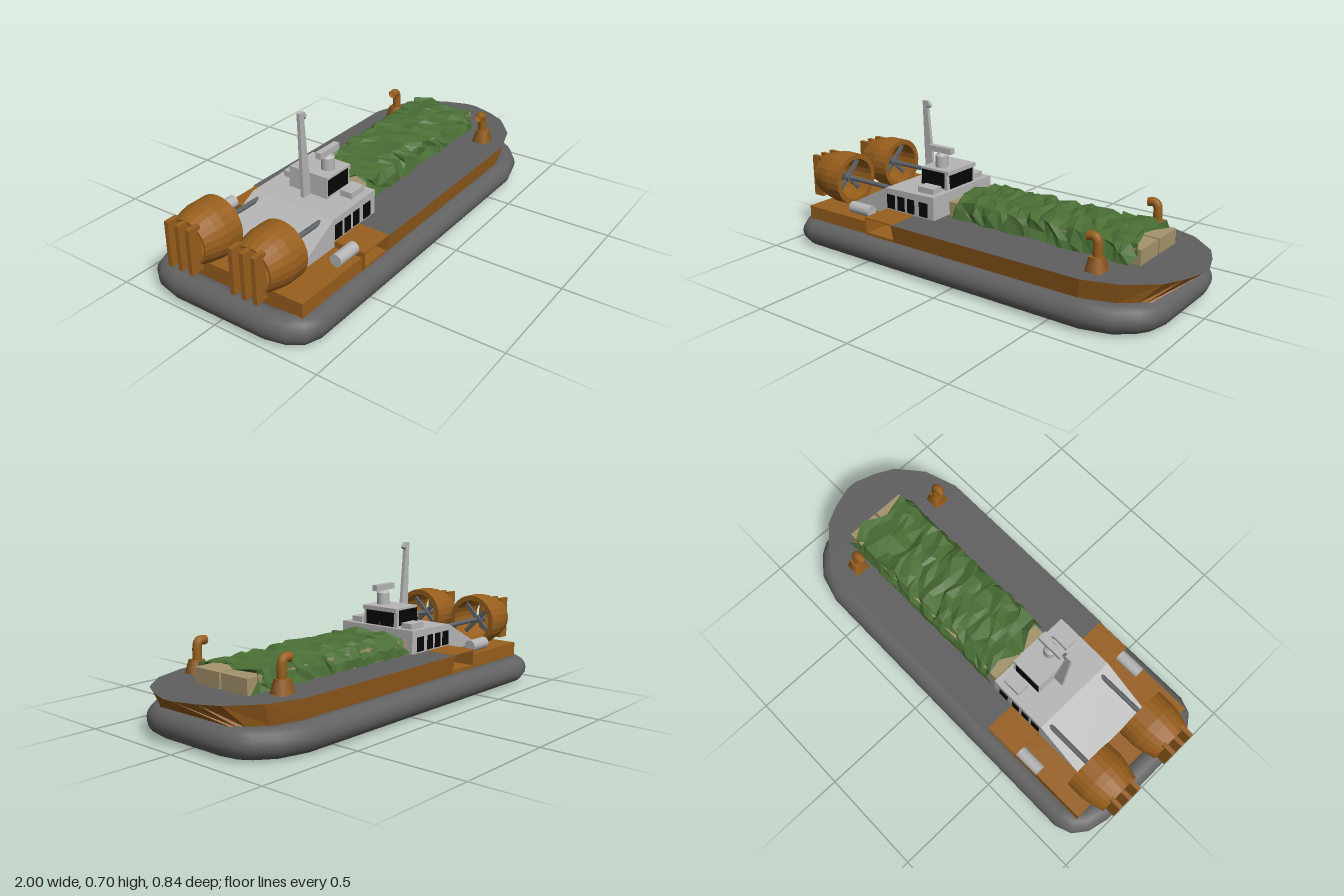
import * as THREE from 'three';

const mat = (name, color, extra = {}) => Object.assign(new THREE.MeshStandardMaterial({ color, ...extra }), { name });

export function createModel() {
  const D = { side: THREE.DoubleSide };
  const orange = mat('ochre paint', 0x985f1d, D);
  const rubber = mat('skirt rubber', 0x626262);
  const deckGrey = mat('deck grey', 0x606060, D);
  const light = mat('light grey', 0xb6b6b6);
  const metal = mat('dark metal', 0x60656a);
  const glass = mat('black glass', 0x060606);
  const tan = mat('crate tan', 0xa5946c);
  const green = mat('net green', 0x4a6f35, { ...D, flatShading: true });

  const model = new THREE.Group();
  model.name = 'hovercraft';
  const add = (name, geo, m, x = 0, y = 0, z = 0, parent = model) => {
    const mesh = new THREE.Mesh(geo, m);
    mesh.name = name;
    mesh.position.set(x, y, z);
    parent.add(mesh);
    return mesh;
  };
  // box given by its min and max on each axis
  const box = (name, m, x0, x1, y0, y1, z0, z1, parent) =>
    add(name, new THREE.BoxGeometry(x1 - x0, y1 - y0, z1 - z0), m, (x0 + x1) / 2, (y0 + y1) / 2, (z0 + z1) / 2, parent);
  const flat = pts => new THREE.Shape(pts.map(p => new THREE.Vector2(...p)));
  // side profile in x,y extruded between two z values
  const slab = (name, m, pts, z0, z1) =>
    add(name, new THREE.ExtrudeGeometry(flat(pts), { depth: z1 - z0, bevelEnabled: false }), m, 0, 0, z0);
  // half outline mirrored across z = 0
  const mirror = half => [...half, ...half.slice().reverse().filter(p => p[1] !== 0).map(([x, z]) => [x, -z])];

  // inflated skirt: round section swept along a mitred outline
  const R = 0.062, N = 16;
  const ring = mirror([[-0.99, 0], [-0.99, 0.23], [-0.967, 0.33], [-0.92, 0.392], [-0.845, 0.42], [0.65, 0.42],
    [0.79, 0.382], [0.875, 0.315], [0.912, 0.26], [0.932, 0.17], [0.932, 0]]);
  const pos = [], idx = [];
  ring.forEach((p, i) => {
    const a = ring[(i + ring.length - 1) % ring.length], b = ring[(i + 1) % ring.length];
    const n = (s, e) => new THREE.Vector2(s[1] - e[1], e[0] - s[0]).normalize();
    const n1 = n(a, p), n2 = n(p, b), out = n1.clone().add(n2).normalize();
    out.multiplyScalar(1 / out.dot(n1));
    for (let j = 0; j < N; j++) {
      const t = j / N * Math.PI * 2, r = (Math.cos(t) - 1) * R;
      pos.push(p[0] + out.x * r, 0.066 + Math.sin(t) * R, p[1] + out.y * r);
      const k = (i + 1) % ring.length, l = (j + 1) % N;
      idx.push(i * N + j, k * N + j, i * N + l, k * N + j, k * N + l, i * N + l);
    }
  });
  const skirt = new THREE.BufferGeometry();
  skirt.setAttribute('position', new THREE.Float32BufferAttribute(pos, 3));
  skirt.setIndex(idx);
  skirt.computeVertexNormals();
  add('skirt', skirt, rubber);

  // forward hull: raked walls, deck and open underside
  const hull = new THREE.Group();
  hull.name = 'hull';
  hull.position.z = 0.01;
  model.add(hull);
  const top = mirror([[-0.35, 0.367], [0.64, 0.367], [0.8, 0.315], [0.92, 0.215], [0.965, 0.13], [1, 0.025]]);
  const low = mirror([[-0.35, 0.348], [0.62, 0.348], [0.76, 0.3], [0.83, 0.25], [0.855, 0.235], [0.87, 0.225]]);
  const walls = [];
  top.forEach((t, i) => {
    const k = (i + 1) % top.length;
    const A = [low[i][0], 0.12, low[i][1]], B = [low[k][0], 0.12, low[k][1]];
    const C = [top[k][0], 0.215, top[k][1]], E = [t[0], 0.215, t[1]];
    // the diagonal is mirrored too, so both bows facet alike
    walls.push(...(i < top.length / 2 ? [...A, ...B, ...C, ...A, ...C, ...E] : [...A, ...B, ...E, ...B, ...C, ...E]));
  });
  const wallGeo = new THREE.BufferGeometry();
  wallGeo.setAttribute('position', new THREE.Float32BufferAttribute(walls, 3));
  wallGeo.computeVertexNormals();
  add('hullWalls', wallGeo, orange, 0, 0, 0, hull);
  add('deck', new THREE.ShapeGeometry(flat(top)).rotateX(Math.PI / 2), deckGrey, 0, 0.215, 0, hull);
  const under = flat(low);
  under.holes.push(flat([[-0.25, -0.17], [-0.25, 0.17], [0.74, 0.17], [0.74, -0.17]]));
  add('hullUnderside', new THREE.ShapeGeometry(under).rotateX(Math.PI / 2), orange, 0, 0.12, 0, hull);

  // stern hull, and the step with its side recesses open to the cabin wall
  box('sternHull', orange, -0.895, -0.515, 0.12, 0.19, -0.348, 0.348, hull);
  box('stepFloor', orange, -0.515, -0.35, 0.12, 0.14, -0.35, 0.352, hull);
  box('stepRoof', orange, -0.515, -0.345, 0.21, 0.216, -0.356, 0.362, hull);
  box('stepRiser', orange, -0.517, -0.51, 0.14, 0.212, -0.356, 0.36, hull);
  box('cabinBase', light, -0.51, -0.352, 0.14, 0.21, -0.21, 0.212, hull);

  // cabin with sloped rear, bridge and roof boxes
  slab('cabin', light, [[-0.76, 0.19], [-0.23, 0.19], [-0.23, 0.325], [-0.52, 0.318]], -0.2, 0.222);
  slab('bridge', light, [[-0.405, 0.32], [-0.245, 0.32], [-0.25, 0.395], [-0.24, 0.395], [-0.24, 0.415], [-0.4, 0.415]], -0.097, 0.103);
  for (const s of [1, -1]) {
    box('roofBox', light, -0.35, -0.26, 0.318, 0.35, 0.008 + s * 0.15 - 0.03, 0.008 + s * 0.15 + 0.03);
    [[-0.512, -0.465], [-0.447, -0.405], [-0.387, -0.345], [-0.315, -0.265]].forEach(([a, b]) =>
      box('cabinWindow', glass, a, b, 0.222, 0.29, 0.011 + s * 0.211 - 0.003, 0.011 + s * 0.211 + 0.003));
    const z = s > 0 ? 0.102 : -0.1;
    slab('bridgeSideWindow', glass, [[-0.4, 0.333], [-0.262, 0.333], [-0.26, 0.405], [-0.395, 0.405]], z, z + 0.004);
    box('bridgeFrontWindow', glass, -0.25, -0.242, 0.328, 0.398, 0.003 + s * 0.042 - 0.039, 0.003 + s * 0.042 + 0.039);
  }

  // radar and mast
  add('radarDrum', new THREE.CylinderGeometry(0.03, 0.03, 0.055, 16), light, -0.322, 0.442, 0.047);
  add('radarNeck', new THREE.CylinderGeometry(0.014, 0.03, 0.015, 16), light, -0.322, 0.477, 0.047);
  box('radarBar', light, -0.388, -0.258, 0.483, 0.511, 0.033, 0.061);
  slab('mast', light, [[-0.45, 0.28], [-0.4, 0.32], [-0.432, 0.67], [-0.414, 0.682], [-0.42, 0.692], [-0.43, 0.704], [-0.46, 0.704]], 0, 0.016);
  box('mastBand', metal, -0.433, -0.424, 0.672, 0.679, -0.001, 0.017);

  for (const s of [1, -1]) {
    // ducted fan with blades, shaft and rudders
    const fan = new THREE.Group();
    fan.name = 'ductedFan';
    fan.position.set(0, 0.298, 0.003 + s * 0.163);
    model.add(fan);
    const duct = [[0.1, -0.77], [0.125, -0.77], [0.125, -0.85], [0.118, -0.89], [0.1, -0.955], [0.09, -0.955], [0.1, -0.85], [0.1, -0.77]];
    const ductGeo = new THREE.LatheGeometry(duct.map(p => new THREE.Vector2(...p)), 24).toNonIndexed();
    ductGeo.computeVertexNormals();
    add('duct', ductGeo.rotateZ(-Math.PI / 2), orange, 0, 0, 0, fan);
    add('fanHub', new THREE.CylinderGeometry(0.02, 0.02, 0.06, 12).rotateZ(Math.PI / 2), metal, -0.84, 0, 0, fan);
    add('driveShaft', new THREE.CylinderGeometry(0.011, 0.011, 0.37, 10).rotateZ(Math.PI / 2), metal, -0.655, 0, 0, fan);
    for (let i = 0; i < 4; i++) {
      const blade = add('fanBlade', new THREE.BoxGeometry(0.012, 0.1, 0.018).translate(0, 0.05, 0), metal, -0.83, 0, 0, fan);
      blade.rotation.x = Math.PI / 4 + i * Math.PI / 2;
    }
    for (const k of [-1, 0, 1])
      box('rudder', orange, -1, -0.94, -0.105, 0.097, k * 0.055 - 0.01, k * 0.055 + 0.01, fan);

    // storage tank
    add('tank', new THREE.CylinderGeometry(0.028, 0.028, 0.12, 16).rotateZ(Math.PI / 2), light, -0.58, 0.227, s * 0.32);

    // deck ventilator with hooked pipe
    const vent = new THREE.Group();
    vent.name = 'ventilator';
    vent.position.set(0.648, 0.215, 0.007 + s * 0.255);
    model.add(vent);
    add('ventBase', new THREE.CylinderGeometry(0.034, 0.052, 0.06, 4).rotateY(Math.PI / 4), orange, 0, 0.03, 0, vent);
    const pipe = new THREE.CatmullRomCurve3([[0, 0.05], [0, 0.11], [-0.004, 0.13], [-0.018, 0.14], [-0.045, 0.137]]
      .map(([x, y]) => new THREE.Vector3(x, y, 0)));
    add('ventPipe', new THREE.TubeGeometry(pipe, 14, 0.02, 12), orange, 0, 0, -s * 0.004, vent);
  }

  // crates in two rows
  for (let i = 0; i < 5; i++) {
    const x = -0.215 + i * 0.199;
    box('crate', tan, x, x + 0.188, 0.217, 0.285, -0.02, 0.126);
    box('crate', tan, x, x + 0.188, 0.217, 0.285, -0.18, -0.031);
  }

  // crumpled camouflage net draped over the crates
  let seed = 471100;
  const rnd = () => ((seed = (seed * 16807) % 2147483647) / 2147483647) - 0.5;
  const section = [[0.158, 0.218], [0.148, 0.26], [0.13, 0.3], [0.075, 0.31], [0.01, 0.308],
    [-0.055, 0.308], [-0.12, 0.31], [-0.172, 0.3], [-0.19, 0.26], [-0.2, 0.218]];
  const cols = 26, net = new THREE.PlaneGeometry(1, 1, cols, section.length - 1), np = net.attributes.position;
  for (let j = 0; j < section.length; j++)
    for (let i = 0; i <= cols; i++) {
      const [z, y] = section[j], edge = i === 0 || i === cols;
      const hem = j === 0 || j === section.length - 1;
      np.setXYZ(j * (cols + 1) + i, -0.185 + 0.93 * i / cols + rnd() * (edge ? 0.06 : 0.04),
        y + (hem ? Math.abs(rnd()) * 0.02 : rnd() * 0.026), z + rnd() * (hem ? 0.01 : 0.03));
    }
  net.computeVertexNormals();
  add('camouflageNet', net, green);

  return model;
}
